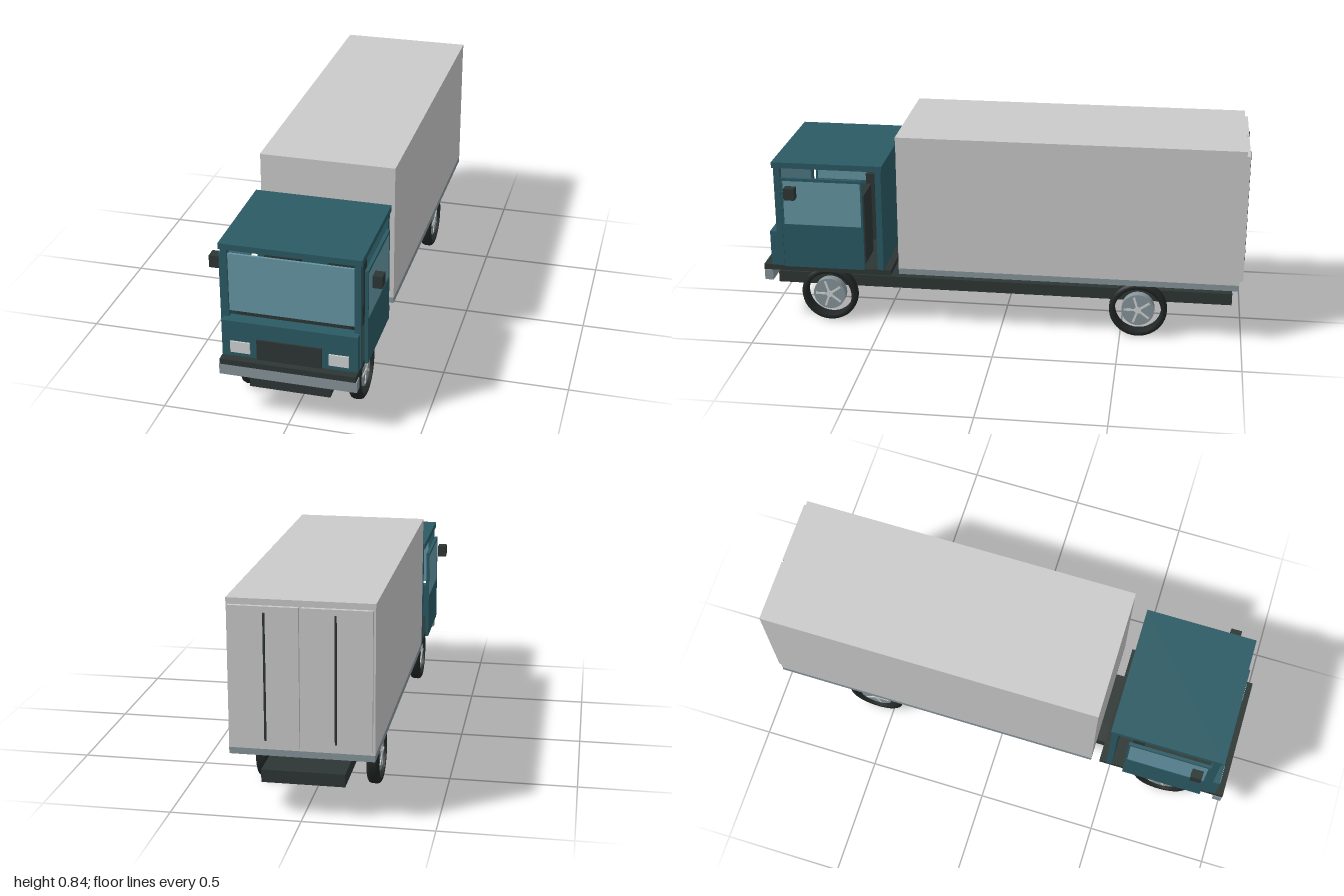
import * as THREE from 'three';

export function createModel() {
  const truck = new THREE.Group();
  truck.name = 'boxTruck';

  const mat = (name, color, extra = {}) => {
    const m = new THREE.MeshStandardMaterial({ color, ...extra });
    m.name = name;
    return m;
  };
  const teal = mat('tealPaint', 0x2b5a64);
  const glass = mat('glass', 0x6496a4);
  const cargoGrey = mat('cargoGrey', 0xcacaca);
  const steel = mat('steel', 0x87959a);
  const dark = mat('darkTrim', 0x2d3634);
  const rubber = mat('rubber', 0x212726);
  const lampWhite = mat('lampWhite', 0xd0d2d3);

  // Box given by its lower and upper limits on each axis
  const box = (name, material, [x0, x1], [y0, y1], [z0, z1], parent = truck) => {
    const mesh = new THREE.Mesh(new THREE.BoxGeometry(x1 - x0, y1 - y0, z1 - z0), material);
    mesh.position.set((x0 + x1) / 2, (y0 + y1) / 2, (z0 + z1) / 2);
    mesh.name = name;
    parent.add(mesh);
    return mesh;
  };
  // Box on one side of the truck: s = 1 left, s = -1 right
  const sideBox = (s, name, material, [x0, x1], y, z, parent) =>
    box(name, material, s > 0 ? [x0, x1] : [-x1, -x0], y, z, parent);

  // Chassis, cab floor and bumper
  box('chassis', dark, [-0.158, 0.158], [0.13, 0.18], [-0.957, 0.97]);
  box('cabFloor', dark, [-0.264, 0.264], [0.232, 0.255], [0.457, 1.0]);
  box('bumper', steel, [-0.268, 0.268], [0.187, 0.232], [0.962, 0.998]);

  // Cargo box
  box('cargoBase', steel, [-0.272, 0.272], [0.245, 0.27], [-0.978, 0.422]);
  box('cargoBody', cargoGrey, [-0.272, 0.272], [0.27, 0.828], [-0.978, 0.422]);
  box('cargoRoof', cargoGrey, [-0.273, 0.273], [0.828, 0.842], [-0.979, 0.423]);

  // Cab shell
  box('cabRoof', teal, [-0.273, 0.273], [0.69, 0.714], [0.482, 0.942]);
  box('cabRearWall', teal, [-0.267, 0.267], [0.255, 0.69], [0.487, 0.512]);
  box('frontPanel', teal, [-0.263, 0.263], [0.255, 0.405], [0.914, 0.966]);
  box('grille', dark, [-0.126, 0.126], [0.255, 0.34], [0.96, 0.973]);
  box('windshield', glass, [-0.242, 0.242], [0.428, 0.668], [0.918, 0.928]);
  box('dashboard', dark, [-0.22, 0.22], [0.37, 0.43], [0.84, 0.91]);

  for (const s of [1, -1]) {
    sideBox(s, 'frontPillar', teal, [0.242, 0.267], [0.255, 0.69], [0.91, 0.936]);
    sideBox(s, 'headlight', lampWhite, [0.153, 0.23], [0.273, 0.32], [0.96, 0.972]);
    sideBox(s, 'mirror', dark, [0.296, 0.333], [0.573, 0.622], [0.835, 0.88]);

    // Side door with framed window
    const door = new THREE.Group();
    door.name = 'door';
    truck.add(door);
    sideBox(s, 'doorPanel', teal, [0.273, 0.286], [0.26, 0.45], [0.563, 0.903], door);
    sideBox(s, 'doorGlass', glass, [0.276, 0.284], [0.45, 0.64], [0.57, 0.896], door);
    sideBox(s, 'doorTopFrame', teal, [0.273, 0.286], [0.64, 0.652], [0.563, 0.903], door);
    for (const z of [0.563, 0.895])
      sideBox(s, 'doorSideFrame', teal, [0.273, 0.286], [0.45, 0.64], [z, z + 0.008], door);

    // Seat
    const seat = new THREE.Group();
    seat.name = 'seat';
    truck.add(seat);
    sideBox(s, 'seatCushion', dark, [0.06, 0.2], [0.255, 0.35], [0.575, 0.73], seat);
    sideBox(s, 'seatBack', dark, [0.06, 0.2], [0.35, 0.56], [0.575, 0.625], seat);

    // Rear cargo door with locking bar
    sideBox(s, 'rearDoor', cargoGrey, [0.005, 0.264], [0.285, 0.818], [-0.993, -0.978]);
    sideBox(s, 'lockingBar', dark, [0.127, 0.134], [0.31, 0.795], [-1.0, -0.992]);
  }

  // Steering wheel on the left
  const steering = new THREE.Mesh(new THREE.TorusGeometry(0.05, 0.007, 8, 24), dark);
  steering.name = 'steeringWheel';
  steering.position.set(0.13, 0.47, 0.79);
  steering.rotation.x = 0.5;
  truck.add(steering);

  // Wheels: open tyre ring around a hub disc with five spokes
  const profile = [
    [0.096, -0.024], [0.108, -0.025], [0.116, -0.02], [0.12, -0.01], [0.12, 0.01],
    [0.116, 0.02], [0.108, 0.025], [0.096, 0.024], [0.096, -0.024],
  ].map(([r, h]) => new THREE.Vector2(r, h));
  const tyreGeo = new THREE.LatheGeometry(profile, 40).rotateZ(-Math.PI / 2);
  const hubGeo = new THREE.CylinderGeometry(0.068, 0.068, 0.036, 32).rotateZ(-Math.PI / 2);
  const capGeo = new THREE.CylinderGeometry(0.014, 0.014, 0.044, 16).rotateZ(-Math.PI / 2);
  const spokeGeo = new THREE.BoxGeometry(0.042, 0.05, 0.009).translate(0, 0.033, 0);

  for (const s of [1, -1]) {
    for (const z of [0.731, -0.572]) {
      const wheel = new THREE.Group();
      wheel.name = 'wheel';
      wheel.position.set(s * 0.218, 0.121, z);
      const add = (name, geo, material) => {
        const mesh = new THREE.Mesh(geo, material);
        mesh.name = name;
        wheel.add(mesh);
        return mesh;
      };
      add('tyre', tyreGeo, rubber);
      add('hub', hubGeo, steel);
      add('hubCap', capGeo, lampWhite);
      for (let i = 0; i < 5; i++)
        add('spoke', spokeGeo, lampWhite).rotation.x = (i * Math.PI * 2) / 5 + 0.3;
      truck.add(wheel);
    }
  }

  return truck;
}
